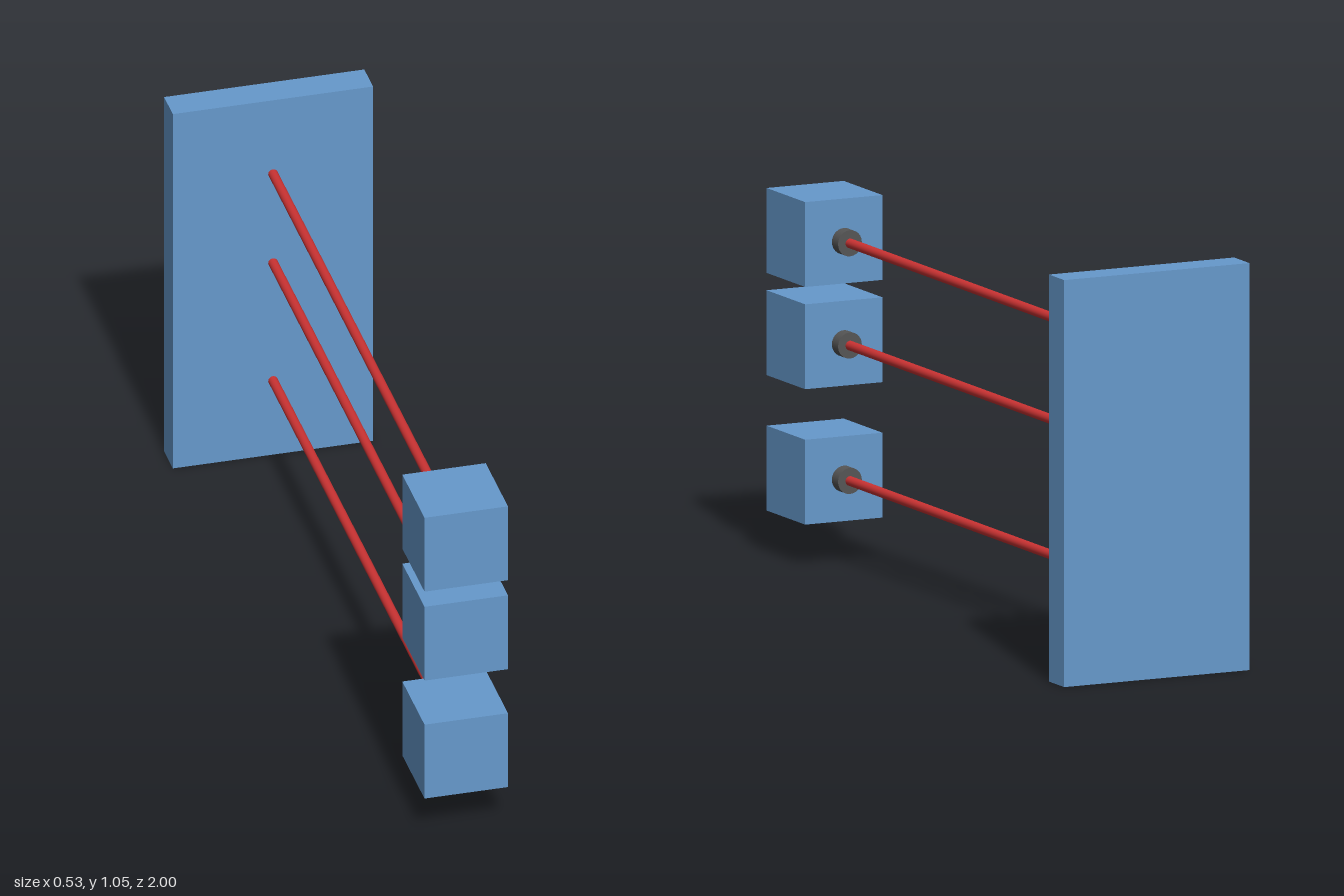
import * as THREE from 'three';

export function createModel() {
  const model = new THREE.Group();
  const material = (name, color) => {
    const m = new THREE.MeshStandardMaterial({ color });
    m.name = name;
    return m;
  };
  const blue = material('blue', 0x6699cc);
  const red = material('red', 0xcc3333);
  const grey = material('dark grey', 0x555555);

  function add(name, geometry, mat, y, z, parent = model) {
    const mesh = new THREE.Mesh(geometry, mat);
    mesh.name = name;
    mesh.position.set(0, y, z);
    parent.add(mesh);
  }

  // Cylinder lying along z
  const barZ = (radius, length) =>
    new THREE.CylinderGeometry(radius, radius, length, 24).rotateX(Math.PI / 2);

  // Upright panel at the back
  const panelFront = -0.913;
  add('backPanel', new THREE.BoxGeometry(0.528, 1.055, 1 + panelFront), blue, 0.5275, (panelFront - 1) / 2);

  // Three boxes, each joined to the panel by a collar and a rod
  const size = 0.22, boxBack = 1 - size, collarBack = 0.745;
  const boxGeometry = new THREE.BoxGeometry(size, size, size);
  const collarGeometry = barZ(0.034, boxBack - collarBack);
  const rodGeometry = barZ(0.0125, boxBack - panelFront);
  [0.221, 0.572, 0.837].forEach((y, i) => {
    const unit = new THREE.Group();
    unit.name = ['lowerUnit', 'middleUnit', 'upperUnit'][i];
    add('box', boxGeometry, blue, y, 1 - size / 2, unit);
    add('collar', collarGeometry, grey, y, (boxBack + collarBack) / 2, unit);
    add('rod', rodGeometry, red, y, (boxBack + panelFront) / 2, unit);
    model.add(unit);
  });

  return model;
}
